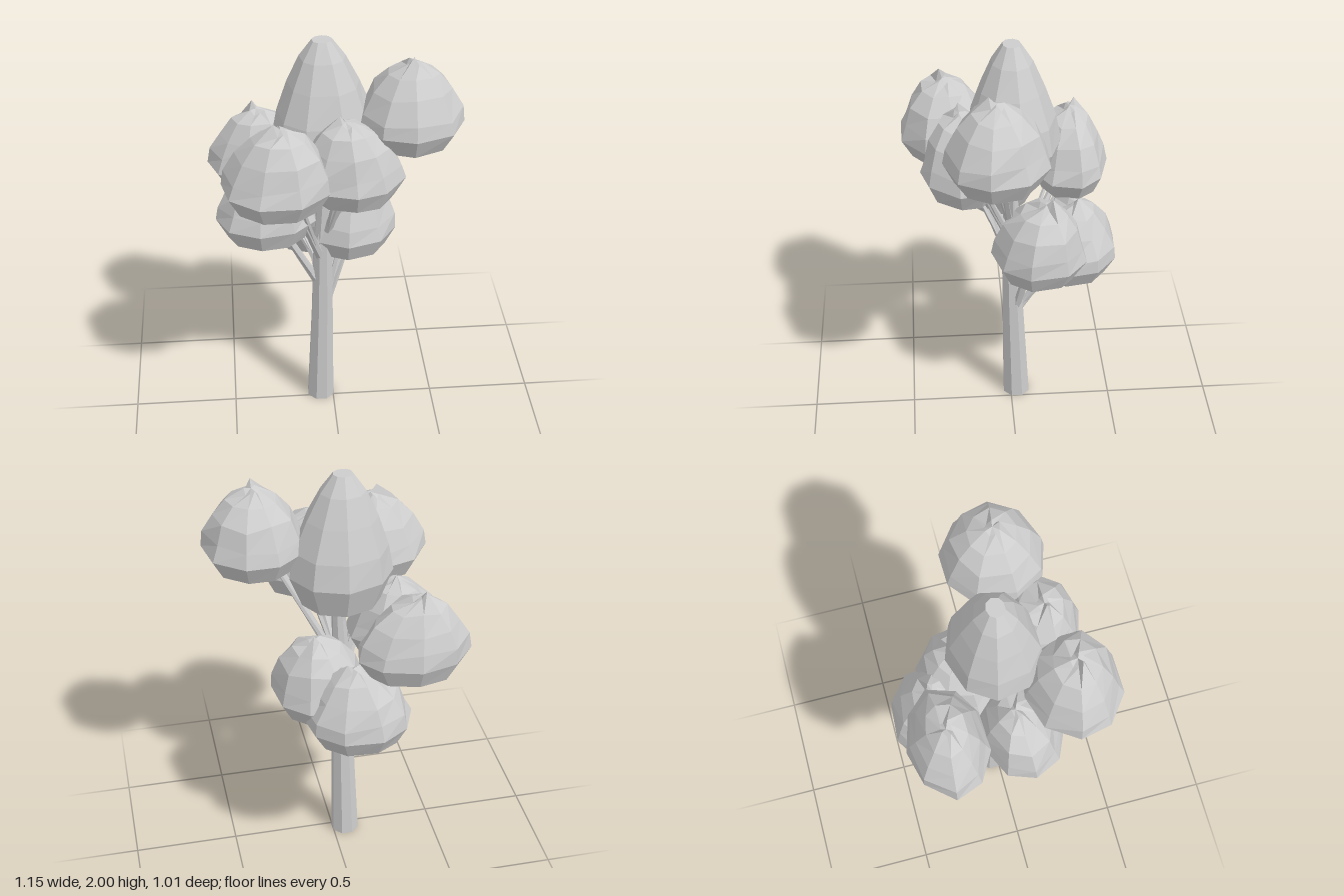
import * as THREE from 'three';

const SIDES = 9;

// Repeatable value in -1..1
const wobble = (a, b, c) => {
  const s = Math.sin(a * 12.99 + b * 78.23 + c * 37.72) * 43758.55;
  return (s - Math.floor(s)) * 2 - 1;
};

// Faceted solid lofted through rings of points, closed by two end points
function loft(rings, bottom, top) {
  const p = [];
  const tri = (...pts) => pts.forEach(v => p.push(v.x, v.y, v.z));
  const n = rings[0].length, last = rings[rings.length - 1];
  for (let j = 0; j < n; j++) {
    const k = (j + 1) % n;
    tri(bottom, rings[0][j], rings[0][k]);
    for (let i = 0; i < rings.length - 1; i++) {
      const a = rings[i], b = rings[i + 1];
      tri(a[j], b[j], a[k]);
      tri(a[k], b[j], b[k]);
    }
    tri(top, last[k], last[j]);
  }
  const g = new THREE.BufferGeometry();
  g.setAttribute('position', new THREE.Float32BufferAttribute(p, 3));
  g.computeVertexNormals();
  return g;
}

// Profiles as [radius share, height share]
const ROUND = [[0.78, 0], [1, 0.235], [0.92, 0.4], [0.75, 0.62], [0.48, 0.8], [0.14, 0.92]];
const TALL = [[0.76, 0], [1, 0.24], [0.9, 0.44], [0.68, 0.67], [0.43, 0.87], [0.19, 1]];

function crownGeometry(c, seed) {
  const profile = c.tall ? TALL : ROUND;
  const rough = c.tall ? 0.02 : 0.06;
  const rings = profile.map(([r, h], i) => {
    const pts = [];
    const lean = h * h;
    const cx = THREE.MathUtils.lerp(c.x, c.px, lean), cz = THREE.MathUtils.lerp(c.z, c.pz, lean);
    for (let j = 0; j < SIDES; j++) {
      const a = THREE.MathUtils.degToRad(c.turn + j * 40 + wobble(seed, j, 0) * 4);
      const k = r * (1 + (i < 2 ? 0.015 : rough) * wobble(seed, j, i));
      // one point of the tip ring stands up as the peak, the others stay lower
      let y = c.y + c.h * h;
      if (!c.tall && i === 5) y += c.h * (j === seed % SIDES ? 0.08 : -0.03 * (j % 3));
      else if (!c.tall && i > 1) y += c.h * 0.03 * wobble(seed, i, j);
      pts.push(new THREE.Vector3(cx + Math.cos(a) * c.rx * k, y, cz + Math.sin(a) * c.rz * k));
    }
    return pts;
  });
  return loft(rings, new THREE.Vector3(c.x, c.y, c.z),
    new THREE.Vector3(c.px, c.y + c.h * (c.tall ? 1 : 0.92), c.pz));
}

// Tapered straight rod between two points
function rod(a, b, ra, rb, sides, mat, name) {
  const d = b.clone().sub(a);
  const m = new THREE.Mesh(new THREE.CylinderGeometry(rb, ra, d.length(), sides), mat);
  m.position.copy(a).addScaledVector(d, 0.5);
  m.quaternion.setFromUnitVectors(new THREE.Vector3(0, 1, 0), d.normalize());
  m.name = name;
  return m;
}

export function createModel() {
  const tree = new THREE.Group();
  tree.name = 'tree';
  const grey = new THREE.MeshStandardMaterial({ color: 0xcccccc, flatShading: true });
  grey.name = 'pale grey';

  // Trunk: gently bending, tapering eight-sided column [x, y, z, radius]
  const stem = [[-0.062, 0, -0.029, 0.069], [-0.053, 0.55, -0.011, 0.054], [-0.05, 0.95, -0.002, 0.046],
    [-0.035, 1.25, 0, 0.034], [-0.035, 1.5, 0, 0.026]];
  const rings = stem.map(([x, y, z, r]) => Array.from({ length: 8 }, (_, j) => {
    const a = (j + 0.5) * Math.PI / 4;
    return new THREE.Vector3(x + Math.cos(a) * r, y, z + Math.sin(a) * r);
  }));
  const trunk = new THREE.Mesh(loft(rings, new THREE.Vector3(-0.062, 0, -0.029), new THREE.Vector3(-0.035, 1.5, 0)), grey);
  trunk.name = 'trunk';
  tree.add(trunk);

  // Leaf crowns: base centre, radii, height, peak, and the height where the branch leaves the trunk
  const crowns = [
    { name: 'topCrown', x: -0.04, y: 1.37, z: -0.008, rx: 0.243, rz: 0.219, h: 0.63, px: -0.05, pz: -0.005, turn: 30, tall: true },
    { name: 'upperLeftCrown', x: 0.338, y: 1.548, z: 0.085, rx: 0.236, rz: 0.236, h: 0.41, px: 0.34, pz: 0.085, turn: 8, fork: 0.98 },
    { name: 'frontRightCrown', x: -0.268, y: 1.355, z: 0.29, rx: 0.249, rz: 0.22, h: 0.41, px: -0.25, pz: 0.3, turn: 28, fork: 0.82 },
    { name: 'frontCrown', x: 0.07, y: 1.34, z: 0.215, rx: 0.235, rz: 0.198, h: 0.41, px: 0.035, pz: 0.235, turn: 11, fork: 0.95 },
    { name: 'backRightCrown', x: -0.312, y: 1.13, z: -0.295, rx: 0.265, rz: 0.188, h: 0.42, px: -0.34, pz: -0.3, turn: 29, fork: 0.75 },
    { name: 'rightCrown', x: -0.315, y: 1.045, z: 0.052, rx: 0.237, rz: 0.192, h: 0.41, px: -0.3, pz: 0.02, turn: 20, fork: 0.66 },
    { name: 'lowerLeftCrown', x: 0.08, y: 0.87, z: -0.127, rx: 0.232, rz: 0.23, h: 0.42, px: 0.11, pz: -0.155, turn: 12, fork: 0.5 },
    { name: 'lowerBackCrown', x: -0.063, y: 0.795, z: -0.292, rx: 0.255, rz: 0.22, h: 0.41, px: -0.035, pz: -0.3, turn: 14, fork: 0.5 },
  ];
  crowns.forEach((c, seed) => {
    const crown = new THREE.Mesh(crownGeometry(c, seed + 1), grey);
    crown.name = c.name;
    tree.add(crown);
    if (!c.fork) return;

    // One thicker branch and two thinner side twigs entering each crown on its inner side
    const start = new THREE.Vector3(-0.045, c.fork, -0.008);
    const end = new THREE.Vector3(
      THREE.MathUtils.lerp(c.x, start.x, 0.2), c.y + 0.04, THREE.MathUtils.lerp(c.z, start.z, 0.2));
    const side = new THREE.Vector3(c.z, 0, -c.x - 0.045).normalize();
    const branch = new THREE.Group();
    branch.name = c.name + 'Branch';
    branch.add(rod(start, end, 0.024, 0.014, 6, grey, 'mainBranch'));
    for (const s of [-1, 1]) {
      const from = start.clone().lerp(end, 0.12);
      branch.add(rod(from, end.clone().addScaledVector(side, s * 0.045), 0.014, 0.009, 5, grey, 'twig'));
    }
    tree.add(branch);
  });
  return tree;
}
